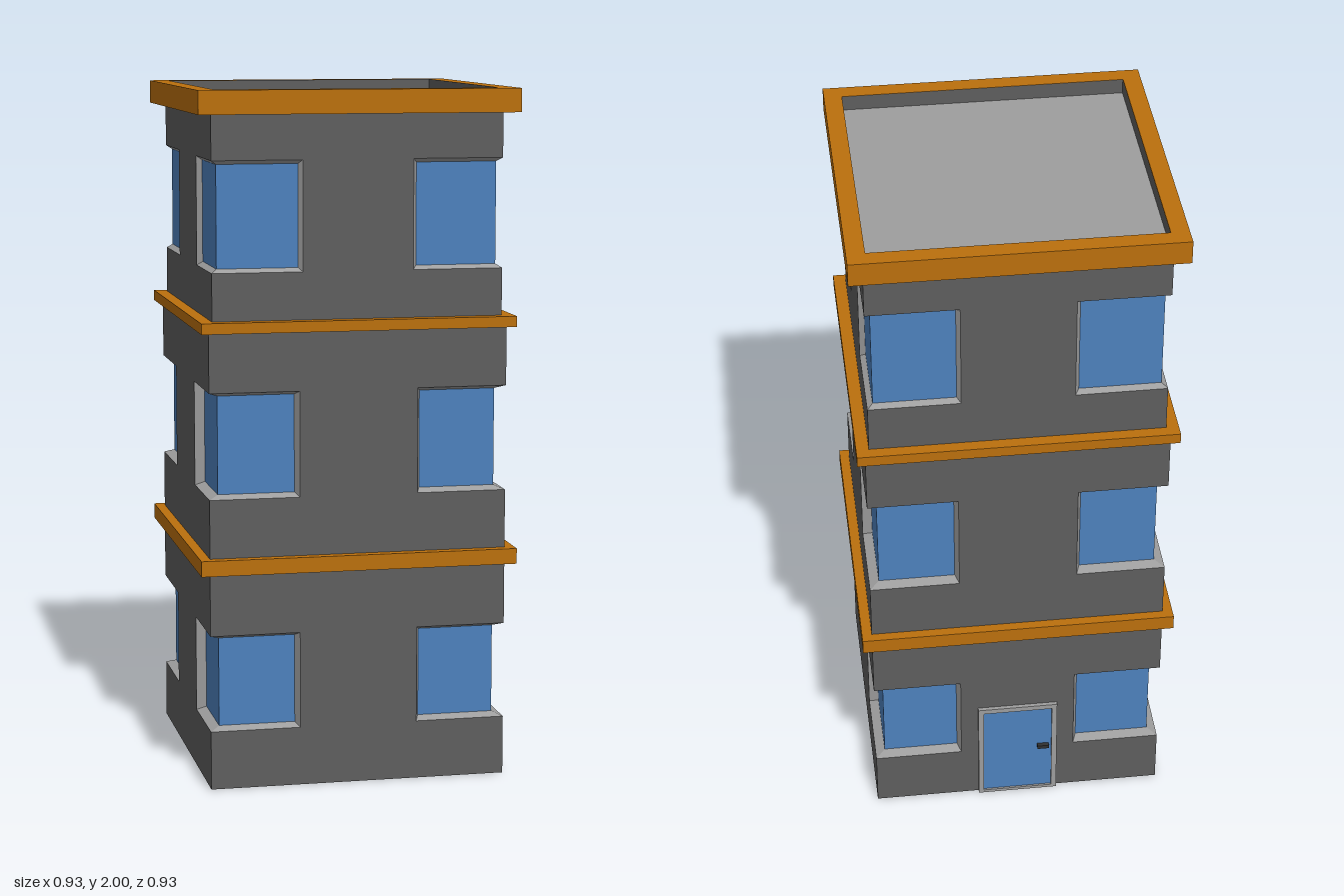
import * as THREE from 'three';

const mat = (name, color) => Object.assign(new THREE.MeshStandardMaterial({ color }), { name });

export function createModel() {
  const wall = mat('dark wall', 0x5e5e5e);
  const band = mat('orange band', 0xbb700d);
  const trim = mat('light trim', 0x9e9e9e);
  const glass = mat('blue glass', 0x4d81bd);
  const metal = mat('dark metal', 0x303030);

  const model = new THREE.Group();
  model.name = 'tower';

  const add = (parent, name, geo, material, x = 0, y = 0, z = 0) => {
    const mesh = new THREE.Mesh(geo, material);
    mesh.name = name;
    mesh.position.set(x, y, z);
    parent.add(mesh);
    return mesh;
  };
  const box = (parent, name, material, w, h, d, x, y, z) =>
    add(parent, name, new THREE.BoxGeometry(w, h, d), material, x, y, z);

  // flat four-cornered faces, corners given counter-clockwise
  const quads = (list) => {
    const pos = [];
    for (const [a, b, c, d] of list) pos.push(...a, ...b, ...c, ...a, ...c, ...d);
    const geo = new THREE.BufferGeometry();
    geo.setAttribute('position', new THREE.Float32BufferAttribute(pos, 3));
    geo.computeVertexNormals();
    return geo;
  };

  // sloped sill, soffit and jamb of the half window on side s of a facade
  const reveal = (s, W, a, yb, yt, g, d) => {
    const A = [a, yb, W], B = [W, yb, W], P = [a + d, yb + d, g], Q = [g, yb + d, g];
    const A2 = [a, yt, W], B2 = [W, yt, W], P2 = [a + d, yt - d, g], Q2 = [g, yt - d, g];
    const faces = [[A, B, Q, P], [P2, Q2, B2, A2], [A, P, P2, A2]];
    if (s > 0) return faces;
    return faces.map((f) => f.map(([x, y, z]) => [-x, y, z]).reverse());
  };

  // storeys: wall half width W, pier half width a, window from yb to yt
  const G = 0.405;
  const storeys = [
    { name: 'groundFloor', W: 0.433, a: 0.172, y0: 0, yb: 0.17, yt: 0.45, y1: 0.65 },
    { name: 'middleFloor', W: 0.433, a: 0.172, y0: 0.65, yb: 0.845, yt: 1.15, y1: 1.335 },
    { name: 'topFloor', W: 0.421, a: 0.16, y0: 1.335, yb: 1.488, yt: 1.803, y1: 1.96 },
  ];
  for (const { name, W, a, y0, yb, yt, y1 } of storeys) {
    const floor = new THREE.Group();
    floor.name = name;
    model.add(floor);

    // facade outline, open at both corners for the windows
    const outline = new THREE.Shape([
      [-W, y0], [W, y0], [W, yb], [a, yb], [a, yt], [W, yt],
      [W, y1], [-W, y1], [-W, yt], [-a, yt], [-a, yb], [-W, yb],
    ].map(([x, y]) => new THREE.Vector2(x, y)));
    const facadeGeo = new THREE.ShapeGeometry(outline);
    const revealGeo = quads([1, -1].flatMap((s) => reveal(s, W, a, yb, yt, G, 0.011)));

    for (let i = 0; i < 4; i++) {
      const side = new THREE.Group();
      side.name = 'side';
      side.rotation.y = (i * Math.PI) / 2;
      floor.add(side);
      add(side, 'facade', facadeGeo, wall, 0, 0, W);
      add(side, 'windowReveals', revealGeo, trim);
    }
    box(floor, 'cornerWindows', glass, 2 * G, yt - yb, 2 * G, 0, (yb + yt) / 2, 0);
  }

  // underside
  box(model, 'basePlate', wall, 0.864, 0.01, 0.864, 0, 0.005, 0);

  // bands between storeys
  box(model, 'lowerBand', band, 0.924, 0.045, 0.924, 0, 0.653, 0);
  box(model, 'upperBand', band, 0.914, 0.031, 0.914, 0, 1.336, 0);

  // roof rim with a sunken roof inside it
  const square = (C, r) => new C([[-r, -r], [r, -r], [r, r], [-r, r]].map(([x, y]) => new THREE.Vector2(x, y)));
  const rim = square(THREE.Shape, 0.463);
  rim.holes.push(square(THREE.Path, 0.411));
  const rimGeo = new THREE.ExtrudeGeometry(rim, { depth: 0.068, bevelEnabled: false });
  rimGeo.rotateX(-Math.PI / 2);
  add(model, 'roofRim', rimGeo, band, 0, 1.932, 0);
  box(model, 'roof', trim, 0.822, 0.02, 0.822, 0, 1.946, 0);
  for (let i = 0; i < 4; i++) {
    const lining = new THREE.PlaneGeometry(0.82, 0.044);
    lining.translate(0, 1.978, -0.41);
    lining.rotateY((i * Math.PI) / 2);
    add(model, 'parapetLining', lining, wall);
  }

  // back door
  const door = new THREE.Group();
  door.name = 'backDoor';
  door.position.z = -0.433;
  model.add(door);
  for (const s of [-1, 1]) box(door, 'doorPost', trim, 0.016, 0.345, 0.024, s * 0.112, 0.1725, 0);
  box(door, 'doorHead', trim, 0.208, 0.016, 0.024, 0, 0.337, 0);
  box(door, 'threshold', trim, 0.208, 0.01, 0.024, 0, 0.005, 0);
  box(door, 'doorPanel', glass, 0.208, 0.32, 0.012, 0, 0.169, 0);
  box(door, 'doorHandle', metal, 0.035, 0.012, 0.014, -0.078, 0.178, -0.012);

  return model;
}
